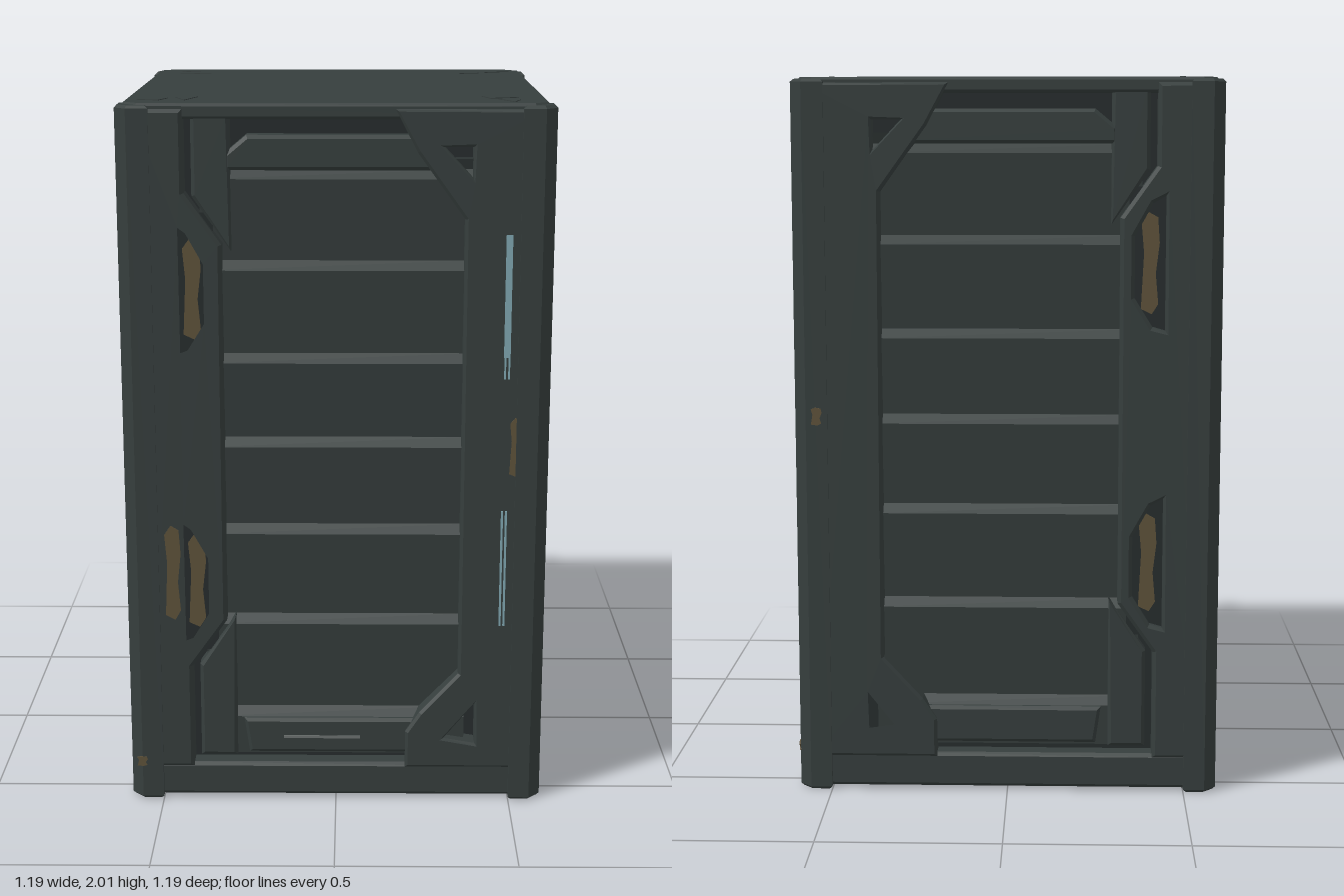
import * as THREE from 'three';

const mat = (name, color) => {
  const m = new THREE.MeshStandardMaterial({ color });
  m.name = name;
  return m;
};
const body = mat('dark green grey', 0x363e3d);
const groove = mat('groove shadow grey', 0x262c2d);
const ochre = mat('worn ochre', 0x5e523a);
const blue = mat('pale blue', 0x7fa6b0);
const pale = mat('pale grey', 0x6c7270);

const FRAME = 0.588; // distance of the frame face from the centre

function add(parent, name, geometry, material) {
  const mesh = new THREE.Mesh(geometry, material);
  mesh.name = name;
  parent.add(mesh);
  return mesh;
}

function toShape(points, holes = []) {
  const s = new THREE.Shape(points.map(p => new THREE.Vector2(...p)));
  for (const h of holes) s.holes.push(new THREE.Path(h.map(p => new THREE.Vector2(...p))));
  return s;
}

// Flat plate with bevelled rim, from depth z0 to z1
function plate(points, z0, z1, holes = [], bevel = 0.01) {
  const g = new THREE.ExtrudeGeometry(toShape(points, holes), {
    depth: z1 - z0 - bevel, bevelEnabled: true, bevelThickness: bevel,
    bevelSize: bevel, bevelOffset: -bevel, bevelSegments: 1,
  });
  return g.translate(0, 0, z0);
}

// Thin painted mark on a side, centred at u, y
function mark(parent, name, u, y, w, h, depth, material) {
  add(parent, name, new THREE.BoxGeometry(w, h, 0.004), material).position.set(u, y, depth);
}

// Worn paint patch with a ragged outline
function patch(parent, u, y, w, h, depth) {
  const pts = [[-0.5, -0.45], [0.1, -0.5], [0.45, -0.4], [0.3, -0.1], [0.5, 0.2],
    [0.4, 0.45], [-0.1, 0.5], [-0.5, 0.4], [-0.35, 0.1]].map(([a, b]) => [u + a * w, y + b * h]);
  const g = new THREE.ExtrudeGeometry(toShape(pts), { depth: 0.004, bevelEnabled: false });
  add(parent, 'wornPaint', g.translate(0, 0, depth - 0.002), ochre);
}

// Stepped slats: each slat recedes downward to an upward facing ledge
function slats() {
  const lines = [1.82, 1.57, 1.31, 1.07, 0.815, 0.545, 0.26];
  const p = [[0.5, 1.85], [0.545, 1.85]];
  for (const y of lines) p.push([0.532, y], [0.557, y - 0.025]);
  p.push([0.55, 0.12], [0.5, 0.12]);
  const g = new THREE.ExtrudeGeometry(toShape(p), { depth: 0.74, bevelEnabled: false });
  return g.translate(0, 0, -0.37).rotateY(-Math.PI / 2);
}

// Frame half with two handle slots; s = -1 for left, 1 for right
function slotHalf(side, s, notched) {
  const m = pts => pts.map(([u, y]) => [u * s, y]);
  const notch = notched ? [[0.31, 1.33], [0.36, 1.24], [0.36, 0.93], [0.31, 0.84]] : [];
  const outline = [[0.55, 0.09], [0.55, 1.985], [0.41, 1.985], [0.41, 1.76], [0.31, 1.62],
    ...notch, [0.31, 0.54], [0.41, 0.4], [0.41, 0.09]];
  const slot = dy => [[0.435, 1.31], [0.435, 1.68], [0.4, 1.66], [0.35, 1.57], [0.35, 1.4], [0.4, 1.32]]
    .map(([u, y]) => [u * s, y - dy]);
  add(side, 'slotFrame', plate(m(outline), 0.5, FRAME, [slot(0), slot(0.84)]), body);
  for (const y of [1.495, 0.655]) {
    mark(side, 'slotFloor', 0.395 * s, y, 0.12, 0.42, 0.56, groove);
    patch(side, 0.393 * s, y, 0.05, 0.28, 0.566);
  }
  // Lower rim pieces beside the slat panel
  add(side, 'upperRim', plate(m([[0.285, 1.975], [0.39, 1.975], [0.39, 1.75], [0.285, 1.6]]), 0.5, 0.572), body);
  add(side, 'lowerRim', plate(m([[0.285, 0.12], [0.39, 0.12], [0.39, 0.4], [0.285, 0.55]]), 0.5, 0.572), body);
}

// Frame half with cut corners and triangular recesses
function plainHalf(side, s) {
  const m = pts => pts.map(([u, y]) => [u * s, y]);
  const outline = [[0.55, 0.09], [0.55, 1.985], [0.16, 1.985], [0.22, 1.87], [0.35, 1.69],
    [0.35, 0.38], [0.24, 0.26], [0.2, 0.2], [0.2, 0.09]];
  const upper = [[0.29, 1.885], [0.37, 1.885], [0.37, 1.8]];
  const lower = [[0.31, 0.18], [0.4, 0.165], [0.4, 0.29]];
  add(side, 'gussetFrame', plate(m(outline), 0.5, FRAME, [m(upper), m(lower)], 0.008), body);
}

function makeSide(name, left, right, angle) {
  const side = new THREE.Group();
  side.name = name;
  side.rotation.y = angle;
  const notched = left === 'slot' && right === 'slot';
  for (const [kind, s] of [[left, -1], [right, 1]]) {
    if (kind === 'slot') slotHalf(side, s, notched);
    else plainHalf(side, s);
  }
  add(side, 'slatPanel', slats(), body);
  // Header and footer plates
  add(side, 'header', plate([[-0.3, 1.82], [0.3, 1.82], [0.3, 1.865], [0.24, 1.915], [-0.24, 1.915], [-0.3, 1.865]], 0.5, 0.572), body);
  add(side, 'footer', plate([[-0.25, 0.13], [0.25, 0.13], [0.265, 0.235], [-0.265, 0.235]], 0.5, 0.574), body);
  // Bottom rail
  add(side, 'bottomRail', plate([[-0.55, 0], [0.55, 0], [0.55, 0.1], [-0.55, 0.1]], 0.5, 0.58), body);
  return side;
}

export function createModel() {
  const model = new THREE.Group();
  model.name = 'container';
  add(model, 'core', new THREE.BoxGeometry(1.05, 1.94, 1.05), groove).position.y = 1;
  add(model, 'floor', new THREE.BoxGeometry(1.12, 0.06, 1.12), body).position.y = 0.031;

  // Lid with cut corners
  const a = 0.578, b = 0.535;
  const lid = plate([[a, -b], [a, b], [b, a], [-b, a], [-a, b], [-a, -b], [-b, -a], [b, -a]], 1.965, 2, [], 0.008);
  add(model, 'lid', lid.rotateX(-Math.PI / 2), body);

  // Chamfered corner posts and shallow wedges on the lid
  for (let i = 0; i < 4; i++) {
    const corner = new THREE.Group();
    corner.name = 'corner' + (i + 1);
    corner.rotation.y = i * Math.PI / 2;
    const post = plate([[0.5, 0.5], [0.593, 0.5], [0.593, 0.56], [0.56, 0.593], [0.5, 0.593]], 0, 1.995, [], 0.008);
    add(corner, 'cornerPost', post.rotateX(-Math.PI / 2), body);
    for (const t of [[[0.38, 0.4], [0.44, 0.42], [0.41, 0.5]], [[0.46, 0.44], [0.54, 0.48], [0.48, 0.5]]]) {
      const g = new THREE.ExtrudeGeometry(toShape(t), { depth: 0.003, bevelEnabled: false });
      add(corner, 'lidWedge', g.rotateX(-Math.PI / 2).translate(0, 1.999, 0), body);
    }
    model.add(corner);
  }

  const front = makeSide('frontSide', 'slot', 'plain', 0);
  const left = makeSide('leftSide', 'slot', 'slot', Math.PI / 2);
  const back = makeSide('backSide', 'plain', 'slot', Math.PI);
  const right = makeSide('rightSide', 'slot', 'slot', -Math.PI / 2);
  model.add(front, left, back, right);

  // Front light strips and worn marks
  const f = FRAME + 0.001;
  mark(front, 'lightStrip', 0.47, 1.48, 0.018, 0.34, f, blue);
  for (const u of [0.465, 0.476]) {
    mark(front, 'lightLine', u, 1.28, 0.005, 0.06, f, blue);
    mark(front, 'lightLine', u, 0.7, 0.006, 0.34, f, blue);
  }
  patch(front, 0.5, 1.055, 0.035, 0.17, f);
  patch(front, -0.46, 0.685, 0.045, 0.28, f);
  patch(front, -0.56, 0.11, 0.03, 0.03, 0.593);
  mark(front, 'footerLine', -0.04, 0.18, 0.22, 0.008, 0.575, pale);

  // Worn marks on the other sides
  mark(left, 'footerMark', -0.12, 0.18, 0.06, 0.018, 0.575, ochre);
  mark(left, 'footerMark', 0.05, 0.18, 0.05, 0.018, 0.575, ochre);
  mark(left, 'footerLine', 0.09, 0.185, 0.09, 0.008, 0.575, pale);
  patch(left, 0.55, 0.11, 0.03, 0.03, 0.594);
  patch(back, -0.53, 1.07, 0.03, 0.05, 0.594);
  patch(right, -0.47, 1.5, 0.03, 0.08, f);
  patch(right, -0.46, 0.2, 0.08, 0.03, f);
  return model;
}
